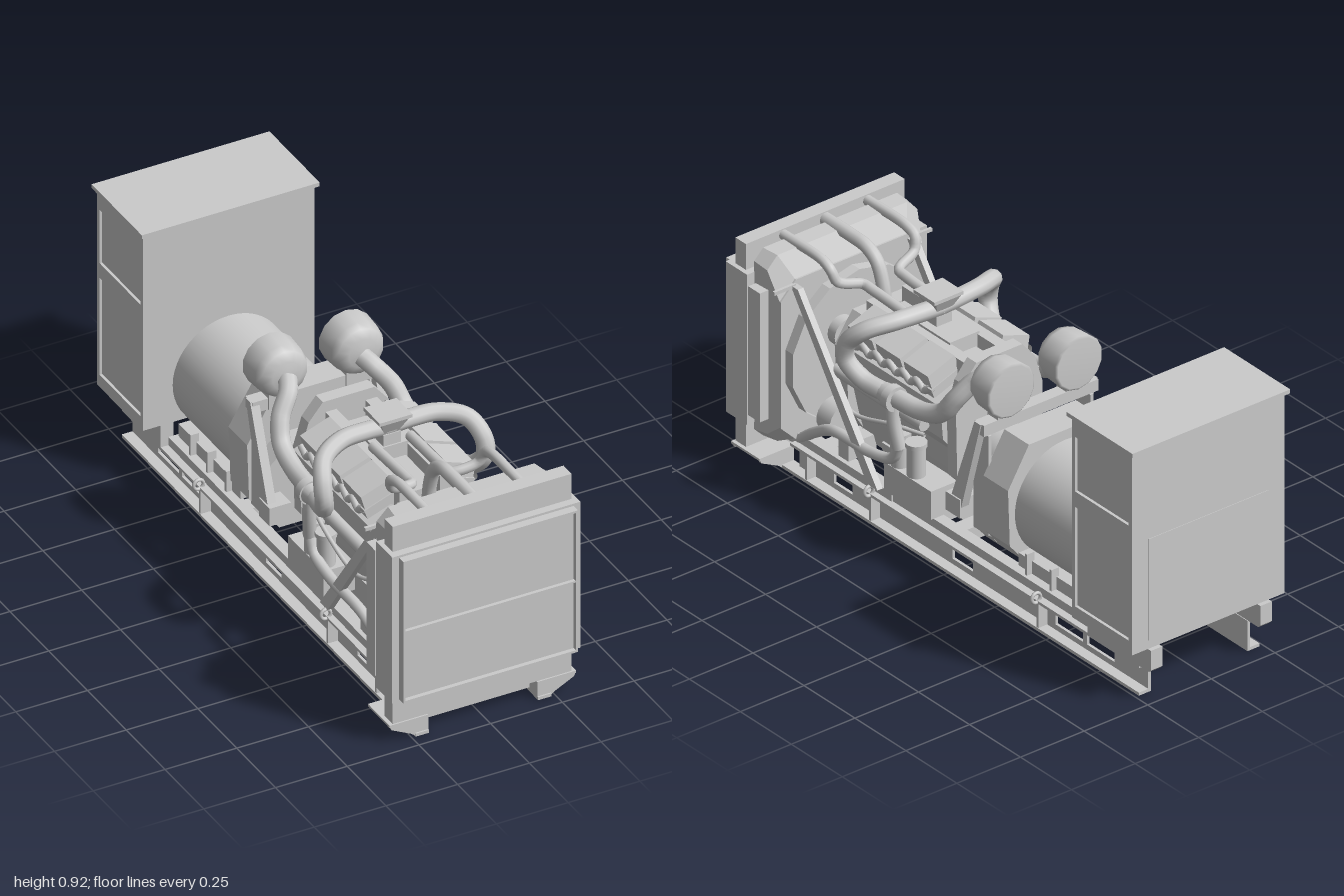
import * as THREE from 'three';

const grey = new THREE.MeshStandardMaterial({ color: 0xcccccc, side: THREE.DoubleSide });
const faceted = new THREE.MeshStandardMaterial({ color: 0xcccccc, side: THREE.DoubleSide, flatShading: true });

export function createModel() {
  const model = new THREE.Group();
  model.name = 'generatorSet';

  const add = (name, geo, mat = grey) => {
    const m = new THREE.Mesh(geo, mat);
    m.name = name;
    model.add(m);
    return m;
  };
  // Box given by its limits on each axis
  const box = (name, x0, x1, y0, y1, z0, z1) =>
    add(name, new THREE.BoxGeometry(Math.abs(x1 - x0), y1 - y0, Math.abs(z1 - z0))
      .translate((x0 + x1) / 2, (y0 + y1) / 2, (z0 + z1) / 2));
  const tube = (name, pts, r, n = 28) => add(name, new THREE.TubeGeometry(
    new THREE.CatmullRomCurve3(pts.map(p => new THREE.Vector3(...p)), false, 'centripetal'), n, r, 10));
  // Cylinder lying along z
  const drum = (name, r, x, y, z0, z1, n = 32, rFront = r) =>
    add(name, new THREE.CylinderGeometry(rFront, r, z1 - z0, n)
      .rotateX(Math.PI / 2).translate(x, y, (z0 + z1) / 2));
  const shapeOf = (pts, holes = []) => {
    const s = new THREE.Shape(pts.map(p => new THREE.Vector2(...p)));
    holes.forEach(h => s.holes.push(h));
    return s;
  };
  const rectHole = (x0, x1, y0, y1) => new THREE.Path(
    [[x0, y0], [x0, y1], [x1, y1], [x1, y0]].map(p => new THREE.Vector2(...p)));
  // Plate drawn in (z, y) and standing at a given x
  const sidePlate = (name, pts, x, t, holes) => add(name,
    new THREE.ExtrudeGeometry(shapeOf(pts, holes), { depth: t, bevelEnabled: false })
      .translate(0, 0, -t / 2).rotateY(-Math.PI / 2).translate(x, 0, 0));
  // Section drawn in (x, y) and extruded from z0 to z1
  const section = (name, pts, z0, z1) => add(name,
    new THREE.ExtrudeGeometry(shapeOf(pts), { depth: z1 - z0, bevelEnabled: false }).translate(0, 0, z0));
  const mirrorPts = pts => [...pts, ...pts.map(([x, y]) => [-x, y]).reverse()];
  const both = fn => [1, -1].forEach(fn);

  // Skid frame: outward channels with fork pockets, gussets and lifting eyes
  both(s => {
    const pockets = [[0.51, 0.6], [-0.08, 0.02], [-0.62, -0.485], [-0.775, -0.64]]
      .map(([a, b]) => rectHole(a, b, 0.032, 0.088));
    sidePlate('railWeb', [[-0.94, 0.01], [0.77, 0.01], [0.77, 0.11], [-0.94, 0.11]], s * 0.195, 0.01, pockets);
    box('railTopFlange', s * 0.19, s * 0.237, 0.1, 0.11, -0.94, 0.77);
    box('railBottomFlange', s * 0.19, s * 0.237, 0.002, 0.013, -0.94, 0.955);
    box('frontRailMount', s * 0.17, s * 0.215, 0.11, 0.14, 0.3, 0.77);
    box('midRailMount', s * 0.17, s * 0.21, 0.11, 0.14, -0.69, 0.3);
    [0.38, -0.44].forEach(z => {
      box('railGusset', s * 0.19, s * 0.235, 0.01, 0.11, z - 0.005, z + 0.005);
      add('liftingEye', new THREE.TorusGeometry(0.017, 0.006, 8, 16).translate(s * 0.24, 0.12, z));
    });
    box('railEndGusset', s * 0.19, s * 0.235, 0.01, 0.11, 0.69, 0.70);
  });
  [0.72, 0.22, 0.08, -0.27].forEach(z => {
    box('crossMemberWeb', -0.19, 0.19, 0.025, 0.105, z - 0.006, z + 0.006);
    box('crossMemberFlange', -0.19, 0.19, 0.095, 0.105, z - 0.05, z + 0.006);
  });

  // Front feet under the radiator
  both(s => {
    const foot = [[0.19, 0.002], [0.235, 0.002], [0.25, 0.014], [0.318, 0.048], [0.325, 0.066], [0.19, 0.066]]
      .map(([x, y]) => [s * x, y]);
    section('radiatorFoot', foot, 0.81, 0.82);
    section('radiatorFoot', foot, 0.94, 0.95);
    box('footTop', s * 0.19, s * 0.325, 0.058, 0.066, 0.81, 0.95);
    box('footInnerWall', s * 0.19, s * 0.205, 0.002, 0.066, 0.81, 0.95);
  });
  box('frontCrossBeam', -0.19, 0.19, 0.018, 0.066, 0.89, 0.9);

  // Radiator
  box('radiatorTankFrame', -0.312, 0.312, 0.066, 0.79, 0.893, 0.945);
  box('radiatorCore', -0.328, 0.328, 0.162, 0.698, 0.868, 0.972);
  box('coreFace', -0.296, 0.296, 0.18, 0.682, 0.97, 0.988);
  [[-0.304, 0.304, 0.682, 0.69], [-0.304, 0.304, 0.17, 0.178], [-0.304, 0.304, 0.427, 0.433],
    [-0.304, -0.297, 0.17, 0.69], [0.297, 0.304, 0.17, 0.69]]
    .forEach(([a, b, c, d]) => box('grilleFrame', a, b, c, d, 0.97, 1));
  both(s => {
    box('radiatorSideColumn', s * 0.265, s * 0.328, 0.2, 0.66, 0.805, 0.862);
    box('sideColumnCap', s * 0.225, s * 0.31, 0.668, 0.68, 0.755, 0.765);
  });

  // Fan shroud, a tapered hood with cut corners ending in a faceted ring
  const hoodLoop = (w, y0, y1, c) => [[w, y0 + c], [w, y1 - c], [w - c, y1], [c - w, y1],
    [-w, y1 - c], [-w, y0 + c], [c - w, y0], [w - c, y0]];
  const loops = [[hoodLoop(0.298, 0.1, 0.77, 0.035), 0.87], [hoodLoop(0.295, 0.105, 0.768, 0.04), 0.81],
    [hoodLoop(0.28, 0.12, 0.69, 0.06), 0.768]];
  const hoodPos = [], hoodIdx = [];
  loops.forEach(([l, z], k) => l.forEach(([x, y], i) => {
    hoodPos.push(x, y, z);
    const a = k * 8 + i, b = k * 8 + (i + 1) % 8;
    if (k < 2) hoodIdx.push(a, a + 8, b, b, a + 8, b + 8);
  }));
  const hood = new THREE.BufferGeometry();
  hood.setAttribute('position', new THREE.Float32BufferAttribute(hoodPos, 3));
  hood.setIndex(hoodIdx);
  const flatHood = hood.toNonIndexed();
  flatHood.computeVertexNormals();
  add('fanShroud', flatHood, faceted);
  section('shroudBack', loops[2][0], 0.762, 0.768);
  add('fanRing', new THREE.CylinderGeometry(0.268, 0.268, 0.045, 14, 1, true)
    .rotateX(Math.PI / 2).translate(0, 0.395, 0.747), faceted);
  drum('fanHub', 0.05, 0, 0.4, 0.63, 0.765, 20);

  // Diagonal radiator braces
  both(s => sidePlate('radiatorBrace', [[0.765, 0.675], [0.73, 0.675], [0.34, 0.14], [0.39, 0.14]], s * 0.228, 0.022));

  // Engine block, sump and V banks
  section('engineBlock', mirrorPts([[0.09, 0.16], [0.12, 0.27], [0.14, 0.36], [0.185, 0.42], [0.195, 0.54],
    [0.1, 0.575], [0.06, 0.54]]), 0.085, 0.585);
  section('oilSump', mirrorPts([[0.07, 0.07], [0.1, 0.1], [0.11, 0.2]]), 0.1, 0.48);
  section('flywheelHousing', mirrorPts([[0.1, 0.22], [0.165, 0.29], [0.17, 0.52], [0.14, 0.62], [0.09, 0.68]]), 0.04, 0.085);
  section('frontGearCase', mirrorPts([[0.1, 0.2], [0.16, 0.3], [0.17, 0.5], [0.1, 0.6]]), 0.58, 0.635);
  box('valleyCover', -0.045, 0.045, 0.5, 0.61, 0.12, 0.56);
  both(s => {
    for (let i = 0; i < 3; i++) {
      const z = 0.2 + i * 0.137;
      const head = add('cylinderHead', new THREE.BoxGeometry(0.12, 0.07, 0.137));
      head.position.set(s * 0.125, 0.565, z);
      const cover = add('valveCover', new THREE.CylinderGeometry(0.078, 0.086, 0.06, 4, 1)
        .rotateY(Math.PI / 4).scale(1, 1, 1.08), faceted);
      cover.position.set(s * 0.138, 0.615, z);
      head.rotation.z = cover.rotation.z = -s * 0.35;
    }
    // Scalloped gasket line beneath the covers
    tube('scallopedTrim', Array.from({ length: 25 }, (_, i) =>
      [s * 0.192, 0.572 + 0.01 * Math.cos(i * Math.PI / 2), 0.135 + i * 0.0167]), 0.013, 96);
    box('intakeManifold', s * 0.05, s * 0.09, 0.57, 0.652, 0.1, 0.58);
    drum('exhaustManifold', 0.022, s * 0.205, 0.45, 0.15, 0.58, 14);
    tube('sidePipe', [[s * 0.19, 0.36, 0.62], [s * 0.205, 0.33, 0.5], [s * 0.205, 0.38, 0.3], [s * 0.18, 0.39, 0.18]], 0.007, 20);
    box('filterBase', s * 0.11, s * 0.22, 0.14, 0.24, 0.1, 0.33);
    [0.21, 0.29].forEach(z => {
      add('oilFilter', new THREE.CylinderGeometry(0.03, 0.03, 0.13, 16).translate(s * 0.19, 0.285, z));
      add('oilFilterCap', new THREE.CylinderGeometry(0.035, 0.035, 0.015, 16).translate(s * 0.19, 0.35, z));
    });
    box('engineMount', s * 0.09, s * 0.2, 0.14, 0.2, 0.53, 0.58);
    drum('accessoryPump', 0.06, s * 0.13, 0.21, 0.635, 0.7, 18);
    drum('beltPulley', 0.05, s * 0.12, 0.52, 0.635, 0.67, 20);
  });
  drum('crankPulley', 0.085, 0, 0.27, 0.635, 0.69, 24);

  // Turbochargers, intake and charge air pipes, hoses
  both(s => {
    tube('intakePipe', [[s * 0.13, 0.69, -0.07], [s * 0.15, 0.67, -0.03], [s * 0.195, 0.61, 0.005], [s * 0.215, 0.545, 0.05],
      [s * 0.222, 0.51, 0.14], [s * 0.23, 0.505, 0.28]], 0.031, 36);
    drum('turbocharger', 0.042, s * 0.235, 0.505, 0.25, 0.28, 20);
    drum('turboOutlet', 0.037, s * 0.235, 0.505, 0.28, 0.32, 20, 0.03);
    tube('turboDrop', [[s * 0.235, 0.5, 0.27], [s * 0.235, 0.42, 0.265], [s * 0.225, 0.33, 0.25]], 0.022, 14);
    tube('chargeAirPipe', [[s * 0.235, 0.505, 0.3], [s * 0.255, 0.52, 0.39], [s * 0.28, 0.58, 0.445], [s * 0.28, 0.64, 0.435],
      [s * 0.25, 0.695, 0.385], [s * 0.17, 0.715, 0.345], [s * 0.08, 0.715, 0.335], [0, 0.71, 0.335]], 0.03, 44);
    tube('lowerHose', [[s * 0.225, 0.34, 0.25], [s * 0.225, 0.28, 0.28], [s * 0.225, 0.25, 0.38], [s * 0.22, 0.235, 0.58],
      [s * 0.21, 0.18, 0.68], [s * 0.2, 0.11, 0.78], [s * 0.19, 0.1, 0.88]], 0.018, 40);
    tube('upperHose', [[s * 0.065, 0.67, 0.36], [s * 0.065, 0.68, 0.58], [s * 0.07, 0.685, 0.62], [s * 0.15, 0.71, 0.645],
      [s * 0.165, 0.75, 0.66], [s * 0.165, 0.768, 0.7], [s * 0.165, 0.77, 0.9]], 0.017, 48);
  });
  tube('centreHose', [[0, 0.6, 0.6], [0, 0.66, 0.61], [0, 0.73, 0.64], [0, 0.76, 0.69], [0, 0.765, 0.76], [0, 0.765, 0.9]], 0.022, 30);
  add('airInletFunnel', new THREE.CylinderGeometry(0.07, 0.03, 0.06, 4)
    .rotateY(Math.PI / 4).translate(0, 0.725, 0.337), faceted);
  box('airInletFlange', -0.057, 0.057, 0.755, 0.767, 0.287, 0.39);
  box('airInletNeck', -0.03, 0.03, 0.6, 0.7, 0.31, 0.365);
  box('intakePlenum', -0.058, 0.058, 0.59, 0.66, 0.21, 0.37);

  // Air cleaners: drums with a domed front
  both(s => {
    const profile = [[0, -0.06], [0.086, -0.06], [0.094, -0.054], [0.09, 0.02], [0.08, 0.045], [0.05, 0.06], [0, 0.064]]
      .map(p => new THREE.Vector2(...p));
    add('airCleaner', new THREE.LatheGeometry(profile, 14).rotateX(Math.PI / 2).translate(s * 0.133, 0.7, -0.128));
    box('airCleanerPost', s * 0.1, s * 0.17, 0.56, 0.62, -0.165, -0.115);
    sidePlate('airCleanerStrut', [[0.01, 0.225], [-0.05, 0.225], [-0.155, 0.6], [-0.125, 0.6]], s * 0.215, 0.03);
    sidePlate('strutGusset', [[-0.145, 0.555], [-0.165, 0.555], [-0.165, 0.2], [-0.09, 0.2], [-0.09, 0.36]], s * 0.2, 0.012);
    box('strutFoot', s * 0.16, s * 0.235, 0.225, 0.29, -0.06, 0.01);
  });
  box('airCleanerBeam', -0.225, 0.225, 0.56, 0.6, -0.165, -0.12);

  // Alternator
  drum('couplingHousing', 0.105, 0, 0.327, -0.1, 0.06, 32);
  section('alternatorFrontHousing', mirrorPts([[0.15, 0.14], [0.215, 0.22], [0.222, 0.42], [0.14, 0.555]]), -0.28, -0.16);
  section('alternatorLowerHousing', mirrorPts([[0.15, 0.14], [0.2, 0.2], [0.2, 0.36], [0.12, 0.43]]), -0.16, -0.085);
  drum('alternatorBody', 0.195, 0, 0.325, -0.69, -0.28, 48);
  both(s => {
    box('alternatorFoot', s * 0.11, s * 0.18, 0.14, 0.185, -0.68, -0.28);
    [-0.34, -0.46, -0.57].forEach(z => box('footRib', s * 0.17, s * 0.2, 0.14, 0.215, z - 0.005, z + 0.005));
  });

  // Control cabinet with recessed side doors, rear panel seam and carrying brackets
  const doors = [[0.645, 0.84], [0.235, 0.59]];
  box('cabinetBody', -0.285, 0.285, 0.19, 0.908, -0.985, -0.69);
  box('cabinetLid', -0.31, 0.31, 0.906, 0.92, -1, -0.676);
  both(s => {
    sidePlate('cabinetSide', [[-0.985, 0.19], [-0.69, 0.19], [-0.69, 0.908], [-0.985, 0.908]], s * 0.2915, 0.015,
      doors.map(([y0, y1]) => rectHole(-0.968, -0.705, y0, y1)));
    doors.forEach(([y0, y1]) => box('cabinetDoor', s * 0.28, s * 0.293, y0 + 0.004, y1 - 0.004, -0.964, -0.709));
    box('rearPanelSeam', s * 0.23, s * 0.235, 0.22, 0.58, -0.987, -0.98);
    sidePlate('cabinetBracket', [[-0.69, 0.11], [-0.99, 0.11], [-1, 0.12], [-1, 0.19], [-0.945, 0.19], [-0.94, 0.165],
      [-0.92, 0.148], [-0.76, 0.148], [-0.74, 0.165], [-0.735, 0.19], [-0.69, 0.19]], s * 0.215, 0.045);
  });
  box('rearPanelSeam', -0.235, 0.235, 0.577, 0.582, -0.987, -0.98);

  return model;
}
